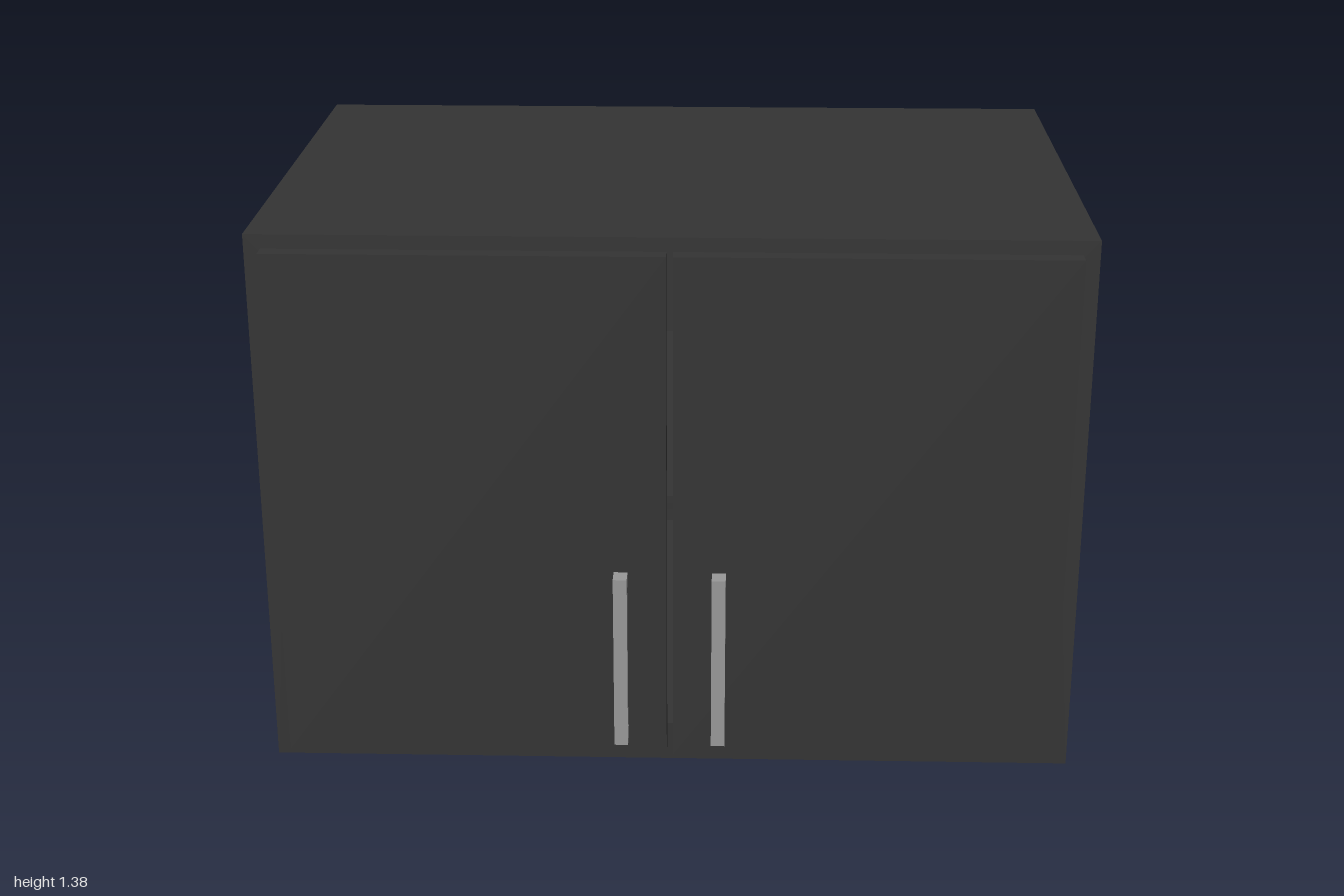
import * as THREE from 'three';

const BODY = { w: 2, h: 1.375, back: -0.703, front: 0.615 };
const DOOR = { x0: 0.008, x1: 0.96, y0: 0.035, y1: 1.34, front: 0.657 };
const HANDLE = { x: 0.12, w: 0.034, y0: 0.085, y1: 0.537, front: 0.703, bar: 0.024, post: 0.032 };

export function createModel() {
  const charcoal = new THREE.MeshStandardMaterial({ color: 0x343434 });
  charcoal.name = 'charcoal';
  const steel = new THREE.MeshStandardMaterial({ color: 0x989898 });
  steel.name = 'steel';

  const model = new THREE.Group();
  model.name = 'wallCabinet';

  const add = (name, geometry, material, parent = model) => {
    const mesh = new THREE.Mesh(geometry, material);
    mesh.name = name;
    parent.add(mesh);
    return mesh;
  };
  // Box given by its minimum and maximum corners
  const box = (x0, x1, y0, y1, z0, z1) =>
    new THREE.BoxGeometry(x1 - x0, y1 - y0, z1 - z0)
      .translate((x0 + x1) / 2, (y0 + y1) / 2, (z0 + z1) / 2);
  const outline = (Type, points) => new Type(points.map(([x, y]) => new THREE.Vector2(x, y)));

  // Carcass: a rectangular tube closed by an inset back panel
  const half = BODY.w / 2, inX = 0.9, inY0 = 0.1, inY1 = 1.26;
  const shell = outline(THREE.Shape, [[-half, 0], [half, 0], [half, BODY.h], [-half, BODY.h]]);
  shell.holes.push(outline(THREE.Path, [[-inX, inY0], [-inX, inY1], [inX, inY1], [inX, inY0]]));
  const carcass = new THREE.ExtrudeGeometry(shell, { depth: BODY.front - BODY.back, bevelEnabled: false });
  add('carcass', carcass.translate(0, 0, BODY.back), charcoal);
  add('backPanel', box(-inX, inX, inY0, inY1, BODY.back, BODY.back + 0.04), charcoal);
  add('shelf', box(-inX, inX, 0.675, 0.71, BODY.back + 0.04, BODY.front - 0.03), charcoal);

  // Handle profile, drawn with depth along x and height along y
  const { y0, y1, front, bar, post } = HANDLE;
  const grip = front - bar;
  const bracket = outline(THREE.Shape, [
    [DOOR.front, y0], [front, y0], [front, y1], [DOOR.front, y1],
    [DOOR.front, y1 - post], [grip, y1 - post], [grip, y0 + post], [DOOR.front, y0 + post],
  ]);

  // Mirrored pair of doors with their handles
  for (const side of [-1, 1]) {
    const prefix = side > 0 ? 'left' : 'right';
    const edges = [side * DOOR.x0, side * DOOR.x1].sort((a, b) => a - b);
    add(prefix + 'Door', box(...edges, DOOR.y0, DOOR.y1, BODY.front, DOOR.front), charcoal);

    const handle = new THREE.ExtrudeGeometry(bracket, { depth: HANDLE.w, bevelEnabled: false });
    handle.translate(0, 0, -HANDLE.w / 2).rotateY(-Math.PI / 2).translate(side * HANDLE.x, 0, 0);
    add(prefix + 'Handle', handle, steel);
  }
  return model;
}
